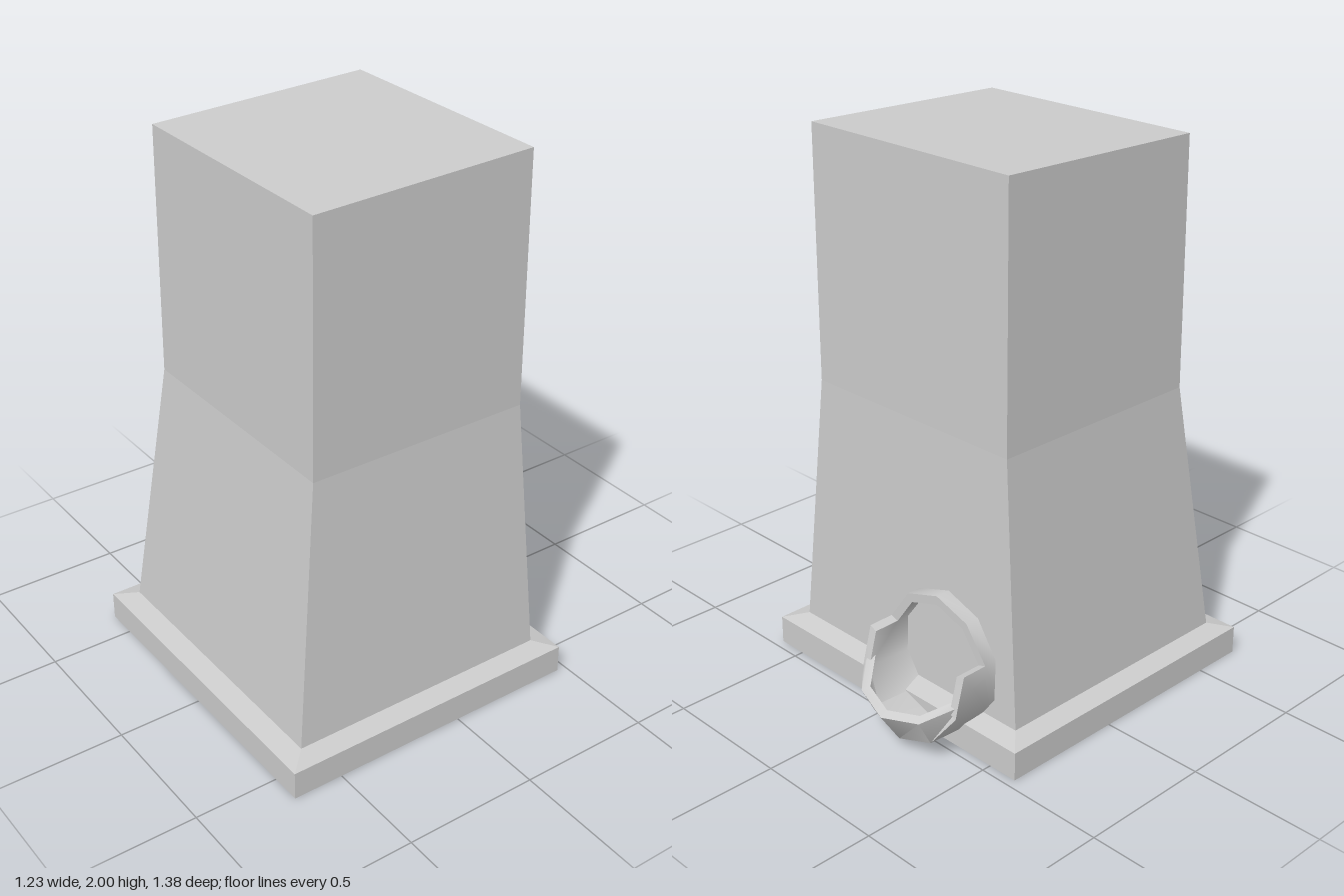
import * as THREE from 'three';
import { toCreasedNormals } from 'three/addons/utils/BufferGeometryUtils.js';

// Gathers four-cornered faces (corners anticlockwise from outside).
function quadGeometry(quads) {
  const pos = [];
  for (const [a, b, c, d] of quads) for (const p of [a, b, c, a, c, d]) pos.push(...p);
  const geo = new THREE.BufferGeometry();
  geo.setAttribute('position', new THREE.Float32BufferAttribute(pos, 3));
  return geo;
}

// Closed solid through rectangular sections, bottom to top:
// [half width, back z, front z, back y, front y]
function loft(sections) {
  const rings = sections.map(([w, zb, zf, yb, yf]) => [[-w, yf, zf], [w, yf, zf], [w, yb, zb], [-w, yb, zb]]);
  const quads = [[...rings[0]].reverse(), rings[rings.length - 1]];
  for (let i = 0; i + 1 < rings.length; i++) {
    for (let k = 0; k < 4; k++) {
      const n = (k + 1) % 4;
      quads.push([rings[i][k], rings[i][n], rings[i + 1][n], rings[i + 1][k]]);
    }
  }
  const geo = quadGeometry(quads);
  geo.computeVertexNormals();
  return geo;
}

// Ten-sided elbow pipe with its upper side cut away in steps.
function spoutGeometry() {
  const sides = 10, outer = 0.245, inner = 0.212, cx = -0.207;
  // Each ring: z and y of its lowest point, tilt in degrees
  const rings = [[-0.36, 0.025, 0], [-0.43, 0.025, 0], [-0.61, 0.035, 15], [-0.69, 0.155, 60]];
  // Last ring reached by each side strip, clockwise from the top
  const reach = [1, 1, 2, 3, 3, 3, 3, 2, 1, 1];
  const point = (r, k, l) => {
    const a = (k / sides) * Math.PI * 2;
    const [z, y, deg] = rings[l];
    const t = THREE.MathUtils.degToRad(deg);
    const h = outer + r * Math.cos(a);
    return [cx + r * Math.sin(a), y + h * Math.cos(t), z + h * Math.sin(t)];
  };
  const o = (k, l) => point(outer, k % sides, l);
  const i = (k, l) => point(inner, k % sides, l);
  const quads = [];
  for (let k = 0; k < sides; k++) {
    const n = k + 1, end = reach[k];
    const before = reach[(k + sides - 1) % sides], after = reach[n % sides];
    for (let l = 0; l < end; l++) {
      quads.push([o(k, l), o(n, l), o(n, l + 1), o(k, l + 1)]);
      quads.push([i(k, l), i(k, l + 1), i(n, l + 1), i(n, l)]);
      // Wall thickness along the stepped cuts
      if (l >= before) quads.push([o(k, l), o(k, l + 1), i(k, l + 1), i(k, l)]);
      if (l >= after) quads.push([o(n, l), i(n, l), i(n, l + 1), o(n, l + 1)]);
    }
    // Rim
    quads.push([o(k, end), o(n, end), i(n, end), i(k, end)]);
  }
  return toCreasedNormals(quadGeometry(quads), 0.9);
}

export function createModel() {
  const group = new THREE.Group();
  const flat = new THREE.MeshStandardMaterial({ color: 0xcccccc, flatShading: true });
  const smooth = new THREE.MeshStandardMaterial({ color: 0xcccccc, side: THREE.DoubleSide });
  const add = (name, geo, mat) => {
    const mesh = new THREE.Mesh(geo, mat);
    mesh.name = name;
    group.add(mesh);
  };

  // Plinth with a bevelled top edge
  add('plinth', loft([
    [0.615, -0.465, 0.688, 0, 0],
    [0.615, -0.465, 0.688, 0.105, 0.105],
    [0.543, -0.39, 0.613, 0.125, 0.125],
  ]), flat);

  // Flared tower with a slightly sloping top
  add('tower', loft([
    [0.543, -0.39, 0.613, 0.125, 0.125],
    [0.459, -0.353, 0.493, 1.08, 1.08],
    [0.459, -0.352, 0.481, 2, 1.98],
  ]), flat);

  // Cut-away spout at the foot of the back wall
  add('spout', spoutGeometry(), smooth);

  return group;
}
